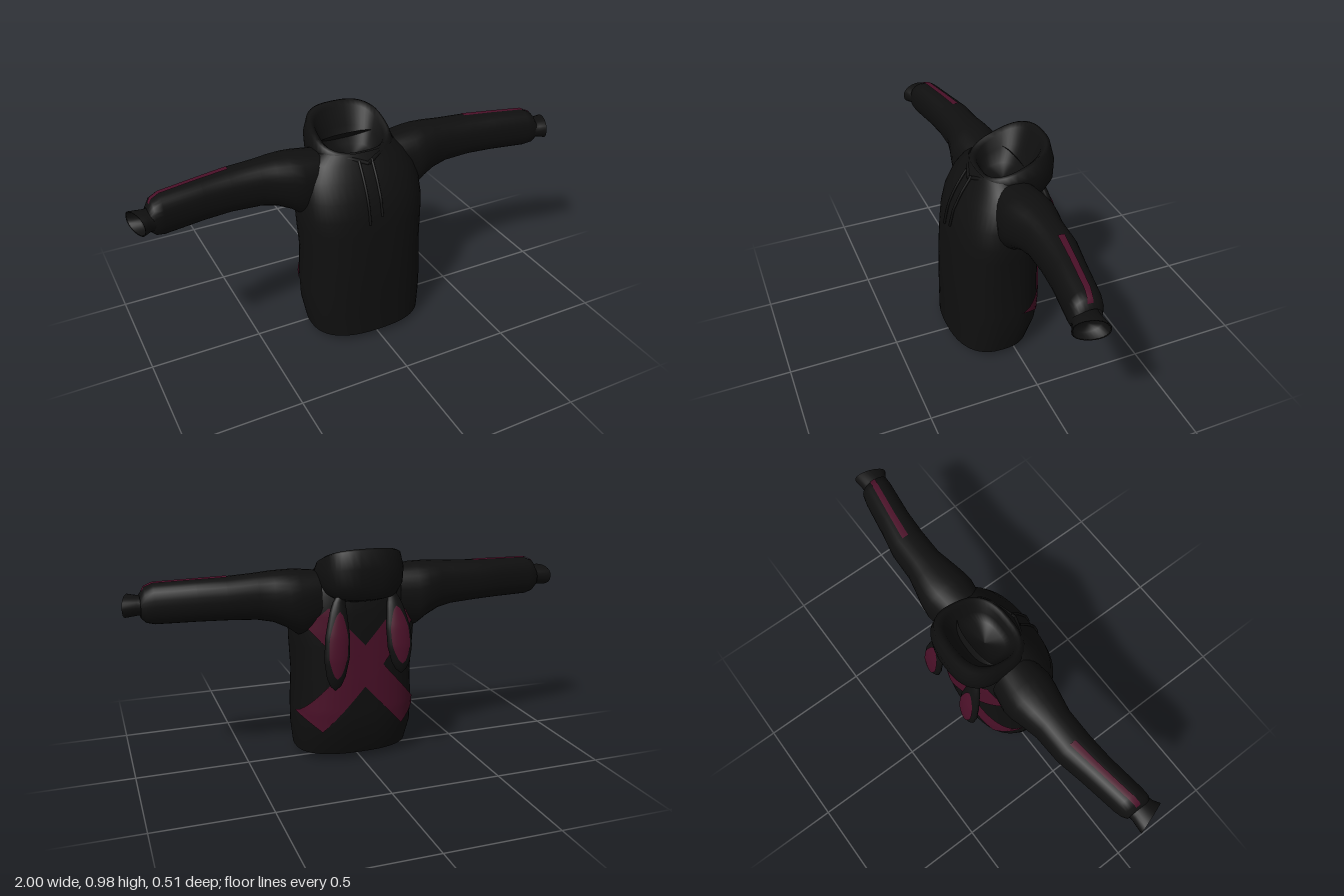
import * as THREE from 'three';

const mat = (name, color) => new THREE.MeshStandardMaterial({ name, color, side: THREE.DoubleSide });

// Grid surface from a rule f(u, v); u can wrap round to close a tube
function sheet(f, nu, vs, closed = false) {
  const pos = [], idx = [], cols = closed ? nu : nu + 1;
  for (const v of vs) for (let i = 0; i < cols; i++) pos.push(...f(i / nu, v));
  for (let j = 0; j < vs.length - 1; j++) {
    for (let i = 0; i < nu; i++) {
      const a = j * cols + i, b = j * cols + (i + 1) % cols;
      idx.push(a, b, a + cols, b, b + cols, a + cols);
    }
  }
  const g = new THREE.BufferGeometry();
  g.setAttribute('position', new THREE.Float32BufferAttribute(pos, 3));
  g.setIndex(idx);
  g.computeVertexNormals();
  return g;
}

const span = (a, b, n) => Array.from({ length: n + 1 }, (_, i) => a + (b - a) * i / n);
const soft = (v, p) => Math.sign(v) * Math.abs(v) ** p;

// Linear lookup in a table of sections keyed by the first column
function section(rows, t) {
  let i = 0;
  while (i < rows.length - 2 && t > rows[i + 1][0]) i++;
  const k = THREE.MathUtils.clamp((t - rows[i][0]) / (rows[i + 1][0] - rows[i][0]), 0, 1);
  return rows[i].map((v, j) => v + (rows[i + 1][j] - v) * k);
}

// Body sections: height, half width, front z, back z
const BODY = [
  [0.035, 0.265, 0.25, -0.12], [0.14, 0.28, 0.247, -0.16], [0.25, 0.282, 0.245, -0.166],
  [0.4, 0.275, 0.24, -0.165], [0.55, 0.285, 0.225, -0.163], [0.62, 0.288, 0.215, -0.162],
  [0.7, 0.28, 0.195, -0.16], [0.78, 0.26, 0.155, -0.15], [0.84, 0.22, 0.115, -0.13],
  [0.875, 0.17, 0.09, -0.11],
];
function bodyPoint(a, y, grow = 1) {
  const [, w, zf, zb] = section(BODY, y);
  return [w * grow * soft(Math.sin(a), 0.8), y,
    (zf + zb) / 2 + (zf - zb) / 2 * grow * soft(Math.cos(a), 0.8)];
}

// Sleeve sections: distance out, top y, bottom y, front z, back z
const SLEEVE = [
  [0.18, 0.875, 0.62, 0.08, -0.13], [0.27, 0.885, 0.6, 0.095, -0.145], [0.32, 0.886, 0.637, 0.085, -0.143],
  [0.38, 0.885, 0.667, 0.07, -0.13], [0.45, 0.88, 0.682, 0.055, -0.115], [0.58, 0.873, 0.69, 0.055, -0.11],
  [0.7, 0.868, 0.69, 0.062, -0.085], [0.87, 0.86, 0.687, 0.085, -0.055], [0.905, 0.845, 0.695, 0.088, -0.045],
  [0.925, 0.81, 0.715, 0.08, -0.03],
];
function sleevePoint(a, x, grow = 1) {
  const [, yt, yb, zf, zb] = section(SLEEVE, x);
  return [x, (yt + yb) / 2 + (yt - yb) / 2 * grow * soft(Math.cos(a), 0.85),
    (zf + zb) / 2 + (zf - zb) / 2 * grow * soft(Math.sin(a), 0.85)];
}

// Hood sections: half width, front z, front y, back z, back y
const HOOD = [
  [0.11, 0.07, 0.82, -0.12, 0.75], [0.15, 0.095, 0.83, -0.17, 0.755], [0.17, 0.1, 0.838, -0.217, 0.772],
  [0.185, 0.1, 0.845, -0.244, 0.825], [0.188, 0.098, 0.855, -0.246, 0.91], [0.175, 0.088, 0.87, -0.228, 0.985],
  [0.162, 0.077, 0.875, -0.212, 0.99], [0.145, 0.062, 0.862, -0.19, 0.97], [0.125, 0.05, 0.83, -0.16, 0.89],
  [0.09, 0.03, 0.8, -0.11, 0.82], [0.001, -0.04, 0.79, -0.041, 0.79],
];
function hoodPoint(u, row) {
  const [w, zf, yf, zb, yb] = HOOD[row], a = u * Math.PI * 2;
  const k = (1 + soft(Math.cos(a), 0.75)) / 2;
  return [w * soft(Math.sin(a), 0.75), yb + (yf - yb) * k, zb + (zf - zb) * k];
}

export function createModel() {
  const cloth = mat('black cloth', 0x0f0f0f);
  const red = mat('dark red print', 0x4a1028);
  const model = new THREE.Group();
  model.name = 'hoodie';
  const add = (name, geo, m, parent = model) => {
    const mesh = new THREE.Mesh(geo, m);
    mesh.name = name;
    parent.add(mesh);
    return mesh;
  };
  const TAU = Math.PI * 2;

  // Body and the shallow underside
  add('body', sheet((u, y) => bodyPoint(u * TAU, y), 48, BODY.map(r => r[0]), true), cloth);
  add('underside', sheet((u, v) => {
    const p = bodyPoint(u * TAU, 0.035);
    return [p[0] * v, 0.005 + 0.03 * v, 0.04 + (p[2] - 0.04) * v];
  }, 48, [1, 0.5, 0.001], true), cloth);

  // Crossed bands printed on the back, wrapped over the body
  for (const s of [1, -1]) {
    const dx = -0.43, dy = 0.49, len = Math.hypot(dx, dy);
    add('backBand', sheet((u, t) => {
      const off = (u - 0.5) * 0.125;
      const x = 0.23 + dx * t + off * dy / len, y = 0.2 + dy * t - off * dx / len;
      const w = section(BODY, y)[1];
      const q = THREE.MathUtils.clamp(x / w, -1, 1);
      return bodyPoint(Math.PI - Math.asin(soft(q, 1.25)) * s, y, 1.025);
    }, 8, span(0, 1, 30)), red);
  }

  // Hood lying open on the shoulders
  add('hood', sheet(hoodPoint, 40, HOOD.map((_, i) => i), true), cloth);

  // Neckline seam forming a shallow V
  for (const s of [1, -1]) {
    const seam = new THREE.CatmullRomCurve3([[0.13, 0.868, 0.055], [0.07, 0.858, 0.09], [0, 0.835, 0.12]]
      .map(([x, y, z]) => new THREE.Vector3(x * s, y, z)));
    add('necklineSeam', new THREE.TubeGeometry(seam, 12, 0.009, 6), cloth);
  }

  // Drawstrings following the chest
  for (const [x, end] of [[-0.04, 0.595], [0.02, 0.62]]) {
    const path = new THREE.CatmullRomCurve3(span(0.85, end, 6).map(y =>
      new THREE.Vector3(x, y, bodyPoint(0, y)[2] + 0.004)));
    add('drawstring', new THREE.TubeGeometry(path, 16, 0.006, 6), cloth);
  }

  // Sleeves with stripe and cuff
  for (const s of [1, -1]) {
    const arm = new THREE.Group();
    arm.name = s > 0 ? 'leftSleeve' : 'rightSleeve';
    model.add(arm);
    const flip = ([x, y, z]) => [x * s, y, z];
    add('sleeve', sheet((u, x) => flip(sleevePoint(u * TAU, x)), 28, SLEEVE.map(r => r[0]), true), cloth, arm);
    add('sleeveStripe', sheet((u, x) => flip(sleevePoint((u - 0.5) * 0.26 - 0.08, x, 1.05)), 4,
      [0.57, 0.58, 0.64, 0.7, 0.78, 0.87, 0.905, 0.915]), red, arm);
    // Cuff: out, flared end cut at a slant, then a recessed inside
    const CUFF = [[0.905, 0.042, 0.055, 0], [0.935, 0.042, 0.057, 0.1], [0.978, 0.048, 0.068, 0.33],
      [0.976, 0.042, 0.061, 0.33], [0.945, 0.038, 0.052, 0.15], [0.94, 0.001, 0.001, 0.15]];
    add('cuff', sheet((u, i) => {
      const [x, ry, rz, slant] = CUFF[i], dz = rz * Math.sin(u * TAU);
      return flip([x - dz * slant, 0.766 + ry * soft(Math.cos(u * TAU), 0.85), 0.03 + (x - 0.9) * 0.15 + dz]);
    }, 24, CUFF.map((_, i) => i), true), cloth, arm);
  }

  // Long floppy ears hanging from the hood: length, half width, half thickness
  const EAR = [[0, 0.022, 0.015], [0.15, 0.038, 0.02], [0.4, 0.055, 0.024], [0.65, 0.057, 0.024],
    [0.85, 0.042, 0.02], [0.95, 0.024, 0.013], [1, 0.002, 0.002]];
  for (const [name, x0, x1, tipY, tipZ] of [['leftEar', 0.115, 0.155, 0.385, -0.222], ['rightEar', -0.115, -0.14, 0.44, -0.24]]) {
    const ear = new THREE.Group();
    ear.name = name;
    model.add(ear);
    const point = (a, t, lift = 0) => {
      const [, w, d] = section(EAR, t);
      return [x0 + (x1 - x0) * Math.sqrt(t) + w * Math.sin(a), 0.785 + (tipY - 0.785) * t,
        -0.175 + (tipZ + 0.175) * t - 0.016 * Math.sin(t * Math.PI) - d * Math.cos(a) - lift];
    };
    add('earShell', sheet((u, t) => point(u * TAU, t), 20, span(0, 1, 20), true), cloth, ear);
    add('earLining', sheet((u, t) => {
      const k = Math.sin((t - 0.14) / 0.72 * Math.PI) ** 0.5 || 0;
      return point((u - 0.5) * 1.7 * k, t, 0.004);
    }, 8, span(0.14, 0.86, 20)), red, ear);
  }
  return model;
}
